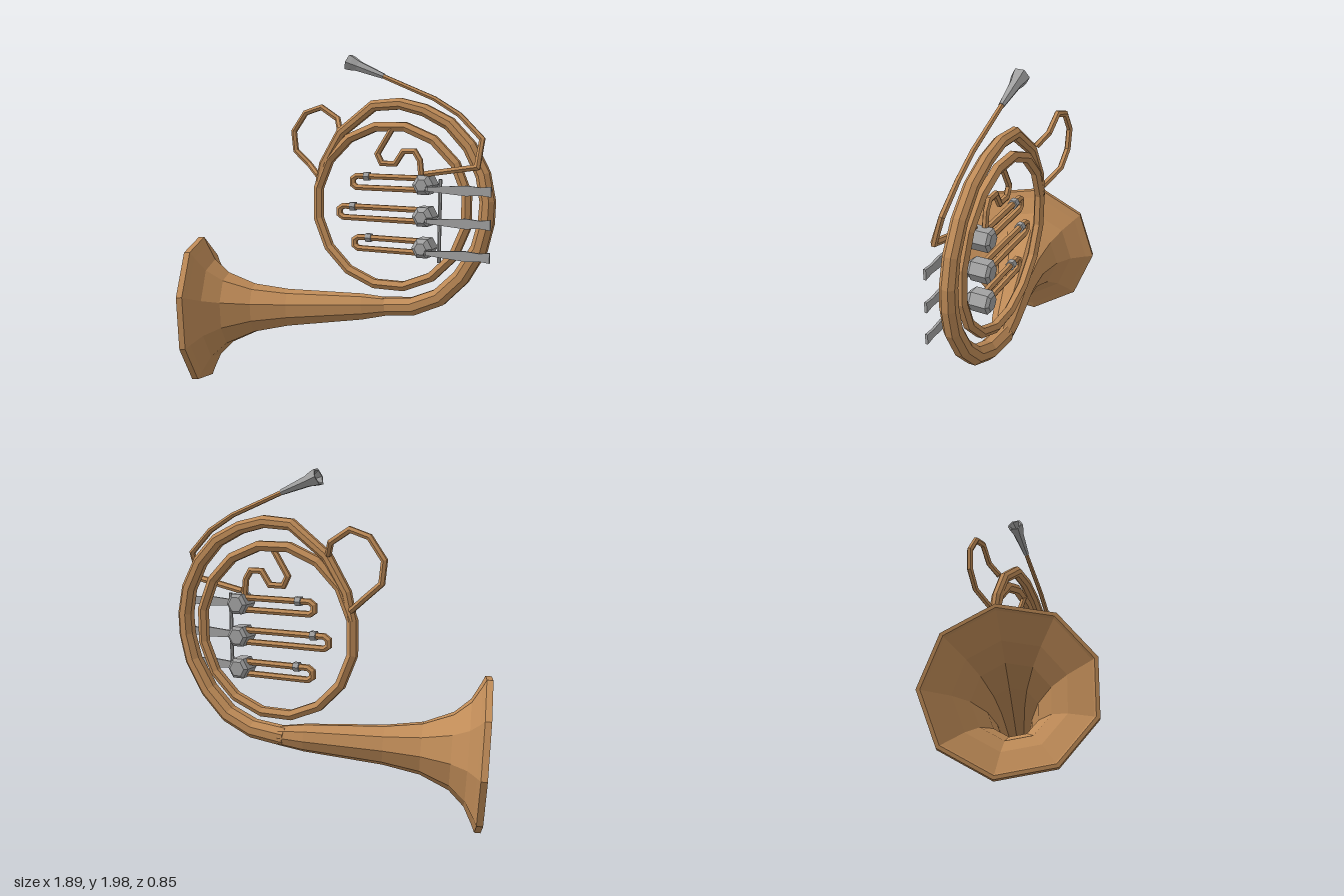
import * as THREE from 'three';

const V = (x, y, z) => new THREE.Vector3(x, y, z);

export function createModel() {
  const brass = new THREE.MeshStandardMaterial({ color: 0xc08c58 });
  brass.name = 'brass';
  const steel = new THREE.MeshStandardMaterial({ color: 0xa2a2a2 });
  steel.name = 'steel';
  const horn = new THREE.Group();
  horn.name = 'horn';

  // Adds a facetted mesh
  function add(name, geometry, material, parent = horn) {
    const g = geometry.index ? geometry.toNonIndexed() : geometry;
    g.computeVertexNormals();
    const mesh = new THREE.Mesh(g, material);
    mesh.name = name;
    parent.add(mesh);
    return mesh;
  }

  // Mitred tube through points; radius runs from r0 to r1
  function pipe(points, r0, r1, sides, closed = false) {
    const n = points.length, pos = [], idx = [];
    points.forEach((p, i) => {
      const prev = points[closed ? (i + n - 1) % n : Math.max(i - 1, 0)];
      const next = points[closed ? (i + 1) % n : Math.min(i + 1, n - 1)];
      const a = p.clone().sub(prev).normalize(), c = next.clone().sub(p).normalize();
      const t = a.clone().add(c).normalize();
      const mitre = Math.min(1.4, 1 / Math.max(t.dot(c), t.dot(a)));
      const b = V(0, 0, 1).addScaledVector(t, -t.z).normalize();
      const side = b.clone().cross(t);
      const r = r0 + (r1 - r0) * i / (n - 1);
      for (let j = 0; j < sides; j++) {
        const ang = (j + 0.5) / sides * Math.PI * 2;
        const q = p.clone().addScaledVector(side, Math.cos(ang) * r * mitre).addScaledVector(b, Math.sin(ang) * r);
        pos.push(q.x, q.y, q.z);
      }
    });
    for (let i = 0; i < (closed ? n : n - 1); i++) {
      const k = ((i + 1) % n) * sides;
      for (let j = 0; j < sides; j++) {
        const j2 = (j + 1) % sides, a = i * sides + j, b = i * sides + j2;
        idx.push(a, b, k + j2, a, k + j2, k + j);
      }
    }
    if (!closed) {
      const e = (n - 1) * sides;
      for (let j = 1; j < sides - 1; j++) idx.push(0, j + 1, j, e, e + j, e + j + 1);
    }
    const g = new THREE.BufferGeometry();
    g.setAttribute('position', new THREE.Float32BufferAttribute(pos, 3));
    g.setIndex(idx);
    return g;
  }

  // Turned shape standing at "from" with its axis towards "to"
  function turned(profile, sides, from, to) {
    const g = new THREE.LatheGeometry(profile.map(([r, t]) => new THREE.Vector2(r, t)), sides);
    const y = to.clone().sub(from).normalize();
    const z = V(0, 0, -1).addScaledVector(y, y.z).normalize();
    const m = new THREE.Matrix4().makeBasis(y.clone().cross(z), y, z).setPosition(from);
    return g.applyMatrix4(m);
  }

  // Bell: inside from throat to lip, then outside back to throat
  const outer = [[0.445, 0.035], [0.4, 0.055], [0.305, 0.105], [0.222, 0.194], [0.15, 0.36],
    [0.114, 0.57], [0.08, 1.02], [0.056, 1.17]];
  const inner = [[0.03, 1.1], [0.06, 1.02], [0.095, 0.57], [0.132, 0.36], [0.204, 0.188], [0.287, 0.095],
    [0.415, 0.012], [0.425, 0]];
  add('bell', turned([...inner, [0.445, 0], ...outer], 9, V(-0.823, 0.45, 0.016), V(0.29, 0.51, -0.325)), brass);

  // Large tapering coil
  const coil = [[0.25, 0.508], [0.46, 0.53], [0.62, 0.6], [0.75, 0.73], [0.85, 0.9], [0.887, 1.05],
    [0.892, 1.17], [0.862, 1.32], [0.78, 1.475], [0.66, 1.6], [0.51, 1.675], [0.36, 1.712],
    [0.19, 1.7], [-0.02, 1.54], [-0.135, 1.35], [-0.17, 1.2]];
  add('outerCoil', pipe(coil.map(([x, y], i) => V(x, y, -0.323 - i * 0.001)), 0.058, 0.028, 8), brass);

  // Inner ring
  const ring = [];
  for (let i = 0; i < 16; i++) {
    const a = (i + 0.5) / 16 * Math.PI * 2;
    ring.push(V(0.3 + 0.478 * Math.cos(a), 1.11 + 0.478 * Math.sin(a), -0.335));
  }
  add('innerRing', pipe(ring, 0.031, 0.031, 6, true), brass);

  // Finger loop behind the coil
  add('fingerLoop', pipe([V(-0.04, 1.55, -0.36), V(-0.08, 1.62, -0.413), V(-0.19, 1.69, -0.413),
    V(-0.3, 1.655, -0.413), V(-0.382, 1.54, -0.413), V(-0.368, 1.42, -0.413),
    V(-0.275, 1.34, -0.413), V(-0.17, 1.26, -0.355)], 0.018, 0.018, 6), brass);

  // Lead pipe and mouthpiece
  add('leadPipe', pipe([V(0.25, 1.875, -0.297), V(0.58, 1.74, -0.297), V(0.73, 1.65, -0.297),
    V(0.865, 1.52, -0.285), V(0.855, 1.367, -0.235), V(0.535, 1.315, -0.285)], 0.014, 0.019, 6), brass);
  add('mouthpiece', turned([[0, 0.06], [0.04, 0], [0.05, 0], [0.045, 0.03], [0.033, 0.07], [0.017, 0.24], [0, 0.24]],
    6, V(0.045, 1.953, -0.297), V(0.27, 1.868, -0.297)), steel);

  // Wavy tube between top valve and ring
  add('tuningTube', pipe([[0.5, 1.28], [0.487, 1.39], [0.455, 1.44], [0.385, 1.44], [0.335, 1.365],
    [0.25, 1.365], [0.222, 1.42], [0.315, 1.57]].map(([x, y]) => V(x, y, -0.325)), 0.018, 0.018, 6), brass);

  // Lever blade outline, widening to the finger end
  const blade = new THREE.Shape([[0.57, -0.012], [0.8, -0.029], [0.88, -0.022], [0.94, -0.029],
    [0.94, 0.029], [0.88, 0.022], [0.8, 0.029], [0.57, 0.012]].map(([x, y]) => new THREE.Vector2(x, y)));

  // Three valves, each with slide, collar and lever: height, slide end, collar position
  [[1.252, 0.06, 0.157], [1.068, -0.027, 0.067], [0.885, 0.073, 0.172]].forEach(([y, end, collarX]) => {
    const unit = new THREE.Group();
    unit.name = 'valveUnit';
    unit.position.y = y;
    horn.add(unit);
    add('valve', turned([[0, 0], [0.045, 0], [0.062, 0.015], [0.062, 0.12], [0.036, 0.145], [0, 0.145]],
      6, V(0, 0, -0.38), V(0, 0, 0)).rotateZ(0), steel, unit);
    const slide = [[0.52, 0.034], [end + 0.03, 0.034], [end + 0.005, 0.017], [end + 0.005, -0.017],
      [end + 0.03, -0.034], [0.52, -0.034]].map(([x, dy]) => V(x, dy, -0.325));
    add('slide', pipe(slide, 0.019, 0.019, 6), brass, unit);
    add('slideCollar', new THREE.CylinderGeometry(0.028, 0.028, 0.035, 6).rotateZ(Math.PI / 2)
      .translate(collarX, 0.034, -0.325), steel, unit);
    add('lever', new THREE.ExtrudeGeometry(blade, { depth: 0.014, bevelEnabled: false })
      .translate(0, -0.017, -0.235), steel, unit);
    add('leverLink', new THREE.BoxGeometry(0.04, 0.02, 0.04).translate(0.575, -0.017, -0.25), steel, unit);
  });

  // Valve barrels need an explicit centre line
  horn.traverse((o) => { if (o.name === 'valve') fixValve(o); });

  // Hinge rod carrying the levers
  add('hingeRod', new THREE.CylinderGeometry(0.011, 0.011, 0.475, 6).translate(0.642, 1.055, -0.242), steel);

  return horn;
}

// Moves a valve to its column and lays its hexagon corners left and right
function fixValve(valve) {
  valve.geometry.dispose();
  const profile = [[0, 0], [0.045, 0], [0.064, 0.015], [0.064, 0.11], [0.036, 0.14], [0, 0.14]];
  const g = new THREE.LatheGeometry(profile.map(([r, t]) => new THREE.Vector2(r, t)), 6)
    .rotateY(Math.PI / 2).rotateX(Math.PI / 2).translate(0.525, 0, -0.385).toNonIndexed();
  g.computeVertexNormals();
  valve.geometry = g;
}
